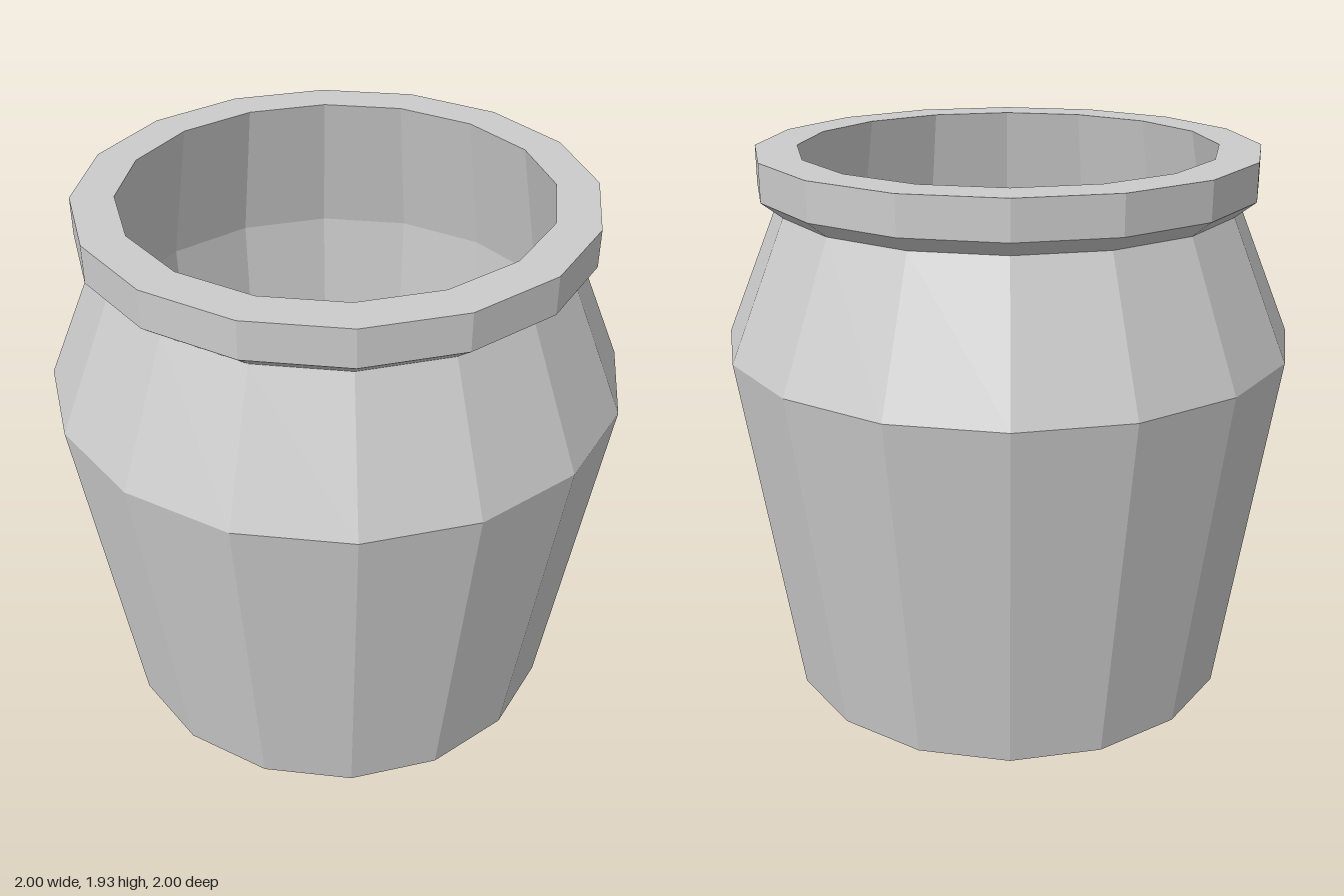
import * as THREE from 'three';

const SIDES = 16;

export function createModel() {
  const group = new THREE.Group();
  group.name = 'jar';
  const material = new THREE.MeshStandardMaterial({ color: 0xcccccc, flatShading: true });

  // Turns a profile of [radius, height] pairs around the y axis
  const turned = (name, profile) => {
    const points = profile.map(([r, y]) => new THREE.Vector2(r, y));
    const mesh = new THREE.Mesh(new THREE.LatheGeometry(points, SIDES), material);
    mesh.name = name;
    group.add(mesh);
  };

  // Outer wall: base, tapered body, sloping shoulder up to the neck
  turned('body', [[0, 0], [0.815, 0], [1, 1.27], [0.8, 1.75]]);

  // Overhanging lip with a bevelled underside
  turned('lip', [[0.8, 1.75], [0.87, 1.805], [0.87, 1.935], [0.725, 1.935]]);

  // Hollow inside: gently flared neck, then a slight taper down to the floor
  turned('interior', [[0.725, 1.935], [0.82, 1.42], [0.74, 0.08], [0, 0.08]]);

  return group;
}
